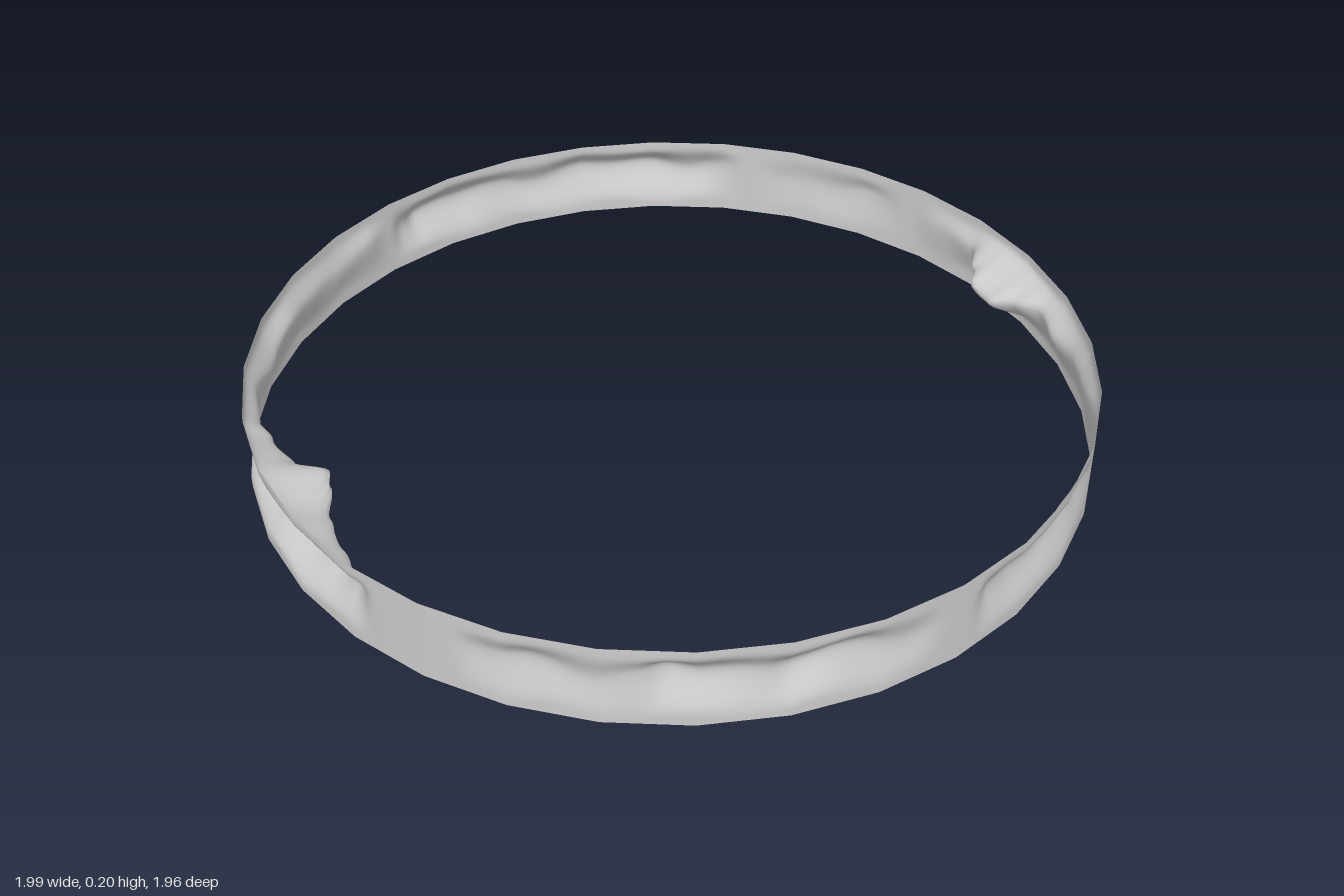
import * as THREE from 'three';

const RADIUS = 0.98, HEIGHT = 0.2, CENTRE_X = 0.0175, SIDES = 32;
const AROUND = 480, UP = 24;

// Hammered relief around the band: [angle in degrees, depth]; negative is pushed inward
const RELIEF = [
  [-180, 0], [-177, 0.02], [-174, 0.042], [-167, 0.04], [-160, 0.025], [-154, 0.028], [-144, 0.036],
  [-136, 0.045], [-128, 0.03], [-120, 0], [-112, 0.008], [-102, 0.015], [-92, 0], [-86, -0.01],
  [-79, -0.02], [-74, -0.08], [-71, -0.12], [-66, -0.12], [-63, -0.074], [-59, -0.035],
  [-55, -0.042], [-48, -0.02], [-40, -0.018], [-31, 0], [-23, 0], [-18, -0.02], [-11, -0.03],
  [0, -0.03], [5, -0.02], [9, 0], [13, 0], [19, -0.015], [25, -0.028], [33, -0.039], [37, -0.025],
  [43, -0.035], [48, -0.04], [52, -0.015], [57, -0.015], [65, -0.025], [70, -0.015], [75, 0],
  [86, 0], [91, -0.038], [97, -0.07], [104, -0.1], [110, -0.14], [113, -0.155], [118, -0.093],
  [124, -0.06], [128, -0.03], [136, -0.02], [143, -0.03], [151, -0.03], [158, -0.022],
  [166, -0.015], [174, -0.016], [180, 0],
];

function reliefAt(deg) {
  let i = 0;
  while (i < RELIEF.length - 2 && deg > RELIEF[i + 1][0]) i++;
  const [a0, d0] = RELIEF[i], [a1, d1] = RELIEF[i + 1];
  return THREE.MathUtils.lerp(d0, d1, THREE.MathUtils.smoothstep(deg, a0, a1));
}

// Cross-section of a dent: flat rims, steep upper slope, softer lower slope
function dentProfile(y, a) {
  const peak = 0.12 + 0.008 * Math.sin(a * 17) + 0.006 * Math.sin(a * 29 + 1);
  const low = 0.02 + 0.007 * Math.sin(a * 23 + 2);
  const high = 0.18 + 0.004 * Math.sin(a * 19);
  return y < peak
    ? THREE.MathUtils.smoothstep(y, low, peak)
    : 1 - THREE.MathUtils.smoothstep(y, peak, high);
}

function bandGeometry() {
  const positions = [], indices = [];
  for (let j = 0; j <= UP; j++) {
    const y = (HEIGHT * j) / UP;
    for (let i = 0; i < AROUND; i++) {
      const a = (i / AROUND) * Math.PI * 2 - Math.PI;
      const r = RADIUS + reliefAt(THREE.MathUtils.radToDeg(a)) * dentProfile(y, a);
      positions.push(r * Math.cos(a), y, r * Math.sin(a));
    }
  }
  for (let j = 0; j < UP; j++) {
    for (let i = 0; i < AROUND; i++) {
      const n = (i + 1) % AROUND;
      const p = j * AROUND + i, q = j * AROUND + n;
      indices.push(p, p + AROUND, q, q, p + AROUND, q + AROUND);
    }
  }
  const geometry = new THREE.BufferGeometry();
  geometry.setAttribute('position', new THREE.Float32BufferAttribute(positions, 3));
  geometry.setIndex(indices);
  geometry.computeVertexNormals();

  // Pull the round outline onto a polygon while keeping the smooth normals
  const pos = geometry.attributes.position;
  const step = (Math.PI * 2) / SIDES;
  for (let k = 0; k < pos.count; k++) {
    const a = ((k % AROUND) / AROUND) * Math.PI * 2;
    const s = Math.cos(step / 2) / Math.cos((a % step) - step / 2);
    pos.setXYZ(k, pos.getX(k) * s, pos.getY(k), pos.getZ(k) * s);
  }
  return geometry;
}

export function createModel() {
  const group = new THREE.Group();
  group.name = 'hammeredRing';
  const material = new THREE.MeshStandardMaterial({ color: 0xcccccc, side: THREE.DoubleSide });
  const band = new THREE.Mesh(bandGeometry(), material);
  band.name = 'band';
  band.position.x = CENTRE_X;
  group.add(band);
  return group;
}
